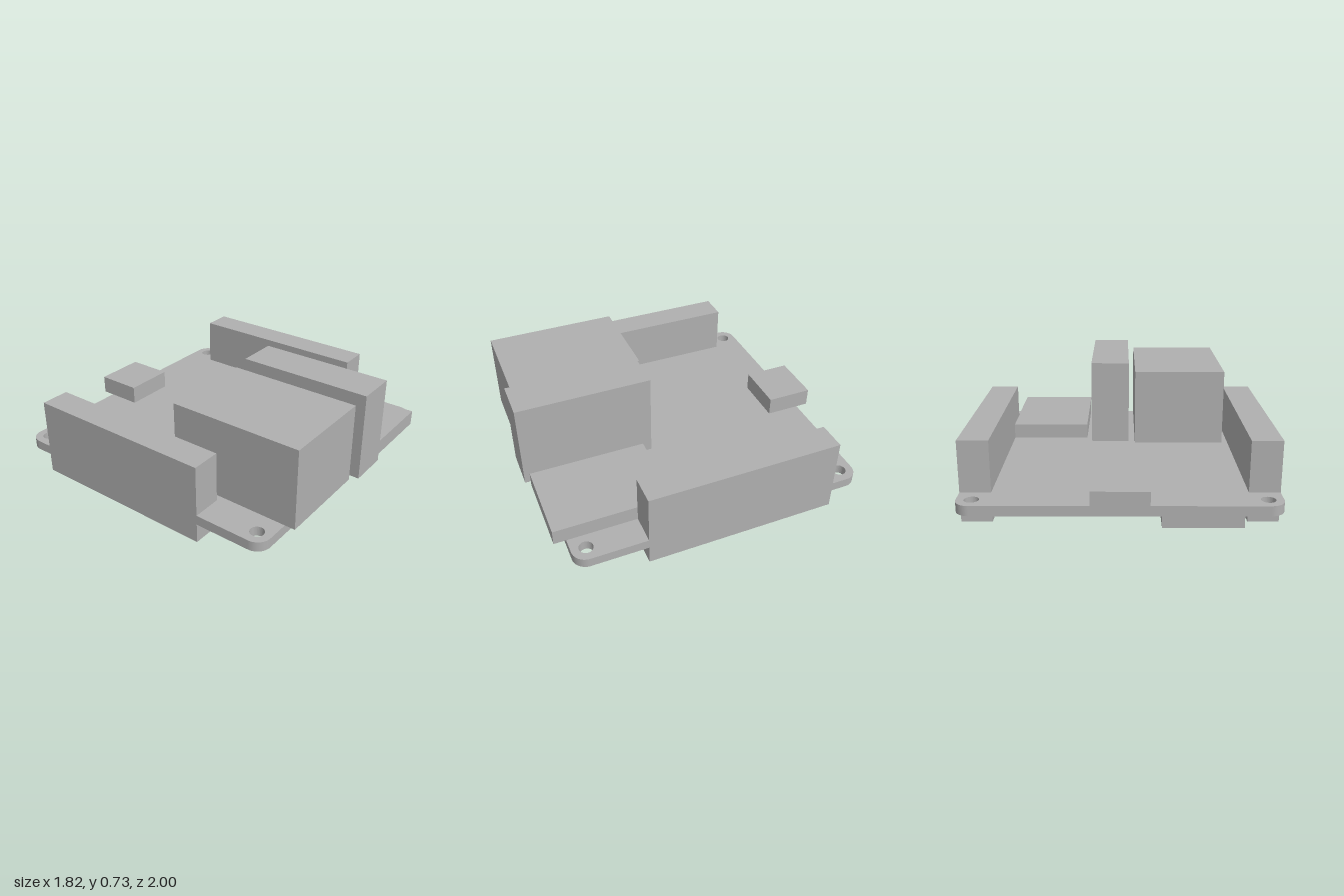
import * as THREE from 'three';

const grey = new THREE.MeshStandardMaterial({ color: 0xb0b0b0 });
grey.name = 'grey';

// Box given by its extents on each axis
function block(name, [x0, x1], [y0, y1], [z0, z1]) {
  const mesh = new THREE.Mesh(new THREE.BoxGeometry(x1 - x0, y1 - y0, z1 - z0), grey);
  mesh.position.set((x0 + x1) / 2, (y0 + y1) / 2, (z0 + z1) / 2);
  mesh.name = name;
  return mesh;
}

// Rounded board with four mounting holes
function circuitBoard() {
  const h = 0.91, r = 0.085, c = h - r;
  const shape = new THREE.Shape();
  shape.absarc(c, c, r, 0, Math.PI / 2);
  shape.absarc(-c, c, r, Math.PI / 2, Math.PI);
  shape.absarc(-c, -c, r, Math.PI, Math.PI * 1.5);
  shape.absarc(c, -c, r, Math.PI * 1.5, Math.PI * 2);
  for (const x of [-0.822, 0.822]) for (const y of [-0.822, 0.822]) {
    shape.holes.push(new THREE.Path().absarc(x, y, 0.042, 0, Math.PI * 2, true));
  }
  const geo = new THREE.ExtrudeGeometry(shape, { depth: 0.06, bevelEnabled: false, curveSegments: 16 });
  geo.rotateX(-Math.PI / 2);
  const mesh = new THREE.Mesh(geo, grey);
  mesh.position.set(0, 0.12, -0.013);
  mesh.name = 'circuitBoard';
  return mesh;
}

export function createModel() {
  const model = new THREE.Group();
  model.name = 'stackableBoard';
  const top = 0.18;
  model.add(
    circuitBoard(),
    // Pin headers passing through the board
    block('leftHeader', [0.73, 0.91], [0, 0.49], [-0.735, 0.468]),
    block('rightHeader', [-0.91, -0.73], [0, 0.49], [-0.735, 0.468]),
    // Connectors along the front edge
    block('networkSocket', [-0.69, -0.1], [top, 0.673], [0.135, 0.96]),
    block('tallSocket', [-0.058, 0.192], [top, 0.725], [0.172, 1]),
    block('flatSocket', [0.228, 0.732], [top, 0.275], [0.242, 0.97]),
    // Power socket at the back edge and card slot underneath
    block('powerSocket', [-0.163, 0.16], [top, 0.297], [-1, -0.708]),
    block('cardSlot', [-0.682, -0.23], [0.05, 0.12], [-0.923, -0.38]),
  );
  return model;
}
